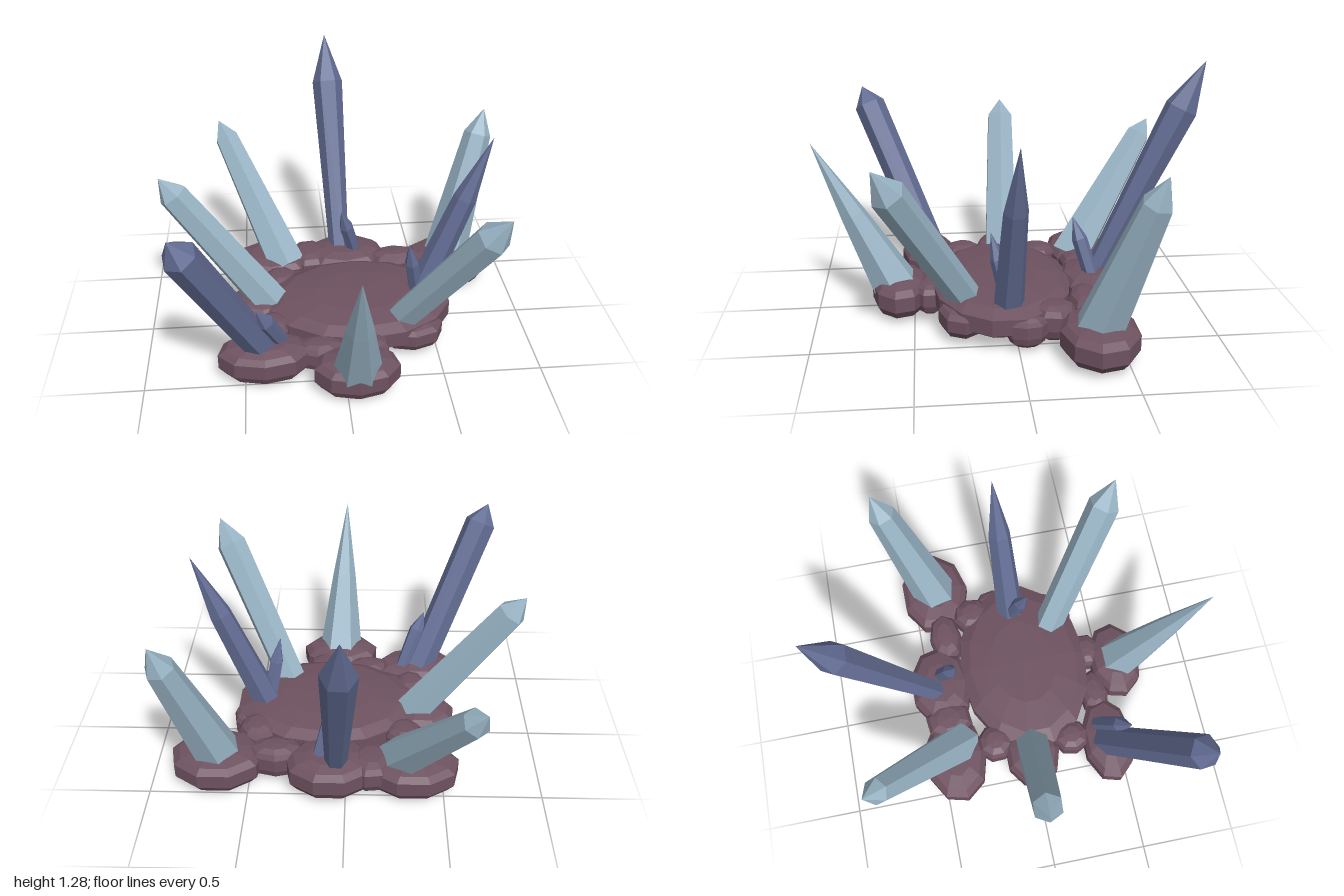
import * as THREE from 'three';

const flat = (name, color) => new THREE.MeshStandardMaterial({ name, color, flatShading: true });

export function createModel() {
  const group = new THREE.Group();
  group.name = 'crystalCluster';
  const rock = flat('mauve rock', 0x6e5260);
  const pale = flat('pale blue crystal', 0x98b3c4);
  const indigo = flat('indigo crystal', 0x636d94);

  // Rounded slab of rock: a faceted pebble scaled to an ellipse
  const pebble = [[0, 0], [0.55, 0.01], [0.84, 0.035], [1, 0.08], [1, 0.16], [0.84, 0.19], [0.5, 0.207], [0, 0.21]];
  function addRock(name, x, z, rx, rz, height = 0.21, y = 0, sides = 9, turn = 0) {
    const geo = new THREE.LatheGeometry(pebble.map(([r, h]) => new THREE.Vector2(r, h / 0.21)), sides);
    geo.rotateY(turn);
    geo.scale(rx, height, rz);
    const mesh = new THREE.Mesh(geo, rock);
    mesh.position.set(x, y, z);
    mesh.name = name;
    group.add(mesh);
  }

  addRock('mainRock', 0.11, 0.05, 0.49, 0.36, 0.215, 0.015, 14);

  // Outer rocks carrying the crystals: x, z, radius x, radius z, height
  [
    [-0.34, -0.42, 0.24, 0.17, 0.2],
    [0.08, -0.43, 0.23, 0.17, 0.215],
    [0.66, -0.37, 0.24, 0.19, 0.2],
    [-0.4, 0.0, 0.18, 0.15, 0.2],
    [-0.4, 0.425, 0.235, 0.14, 0.2],
    [0.05, 0.57, 0.215, 0.145, 0.2],
  ].forEach(([x, z, rx, rz, h], i) => addRock('outerRock', x, z, rx, rz, h, 0, 9, i * 0.7));

  // Small stones filling the gaps
  [
    [0.36, -0.355, 0.15, 0.09, 0.19],
    [-0.13, -0.42, 0.12, 0.13, 0.19],
    [0.47, -0.18, 0.1, 0.11, 0.19],
    [0.55, -0.04, 0.06, 0.1, 0.16],
    [-0.3, -0.19, 0.1, 0.1, 0.18],
    [-0.35, 0.23, 0.09, 0.1, 0.18],
    [-0.12, 0.41, 0.13, 0.08, 0.16],
    [0.13, 0.42, 0.1, 0.08, 0.17],
    [0.36, 0.26, 0.17, 0.12, 0.16],
  ].forEach(([x, z, rx, rz, h], i) => addRock('fillStone', x, z, rx, rz, h, 0.02, 8, i * 0.5));

  // Thin ridges fanning out below the main rock
  for (let i = 0; i < 9; i++) {
    const geo = new THREE.ConeGeometry(0.02, 0.26, 4);
    geo.rotateX(Math.PI / 2);
    geo.translate(0, 0, 0.15);
    const ridge = new THREE.Mesh(geo, rock);
    ridge.position.set(0.11, 0.022, 0.05);
    ridge.rotation.y = (i * Math.PI * 2) / 9 + (i % 2) * 0.2;
    ridge.name = 'undersideRidge';
    group.add(ridge);
  }

  // Six-sided crystal from base to tip; shoulder is a fraction of its length
  const up = new THREE.Vector3(0, 1, 0);
  function addCrystal(name, mat, base, tip, baseR, shoulderR, shoulder, turn = 0) {
    const start = new THREE.Vector3(...base);
    const dir = new THREE.Vector3(...tip).sub(start);
    const len = dir.length();
    const profile = [[0, 0], [baseR, 0], [shoulderR, len * shoulder], [0, len]];
    const geo = new THREE.LatheGeometry(profile.map(([r, h]) => new THREE.Vector2(r, h)), 6);
    geo.rotateY(turn);
    const mesh = new THREE.Mesh(geo, mat);
    mesh.position.copy(start);
    mesh.quaternion.setFromUnitVectors(up, dir.normalize());
    mesh.name = name;
    group.add(mesh);
  }

  // Large crystals around the ring
  addCrystal('backCrystal', indigo, [0.05, 0.14, -0.44], [0.01, 1.285, -1.0], 0.055, 0.085, 0.79, 0.5);
  addCrystal('backRightCrystal', pale, [-0.26, 0.13, -0.37], [-0.62, 0.83, -0.87], 0.115, 0.07, 0.88, 0.2);
  addCrystal('backLeftCrystal', pale, [0.65, 0.13, -0.36], [0.88, 0.965, -0.6], 0.125, 0.075, 0.84, 0.3);
  addCrystal('rightCrystal', pale, [-0.34, 0.13, 0.01], [-0.89, 0.9, -0.03], 0.1, 0.078, 0.88, 0.5);
  addCrystal('frontRightCrystal', indigo, [-0.4, 0.14, 0.4], [-0.775, 1.02, 0.775], 0.08, 0.085, 0.89, 0.1);
  addCrystal('frontCrystal', pale, [0.05, 0.13, 0.59], [0.02, 0.91, 0.99], 0.125, 0.066, 0.52, 0.5);
  addCrystal('frontLeftCrystal', pale, [0.3, 0.14, 0.22], [0.725, 0.975, 0.655], 0.08, 0.085, 0.85, 0.4);
  addCrystal('leftCrystal', indigo, [0.42, 0.13, 0.04], [0.78, 1.08, 0.02], 0.08, 0.06, 0.65, 0.2);

  // Small side shoots
  addCrystal('backShoot', indigo, [0.14, 0.16, -0.43], [0.05, 0.49, -0.33], 0.04, 0.04, 0.65);
  addCrystal('frontRightShoot', indigo, [-0.3, 0.14, 0.37], [-0.43, 0.46, 0.52], 0.04, 0.045, 0.7);
  addCrystal('leftShoot', indigo, [0.43, 0.16, 0.03], [0.36, 0.54, 0.12], 0.04, 0.038, 0.65);

  return group;
}
